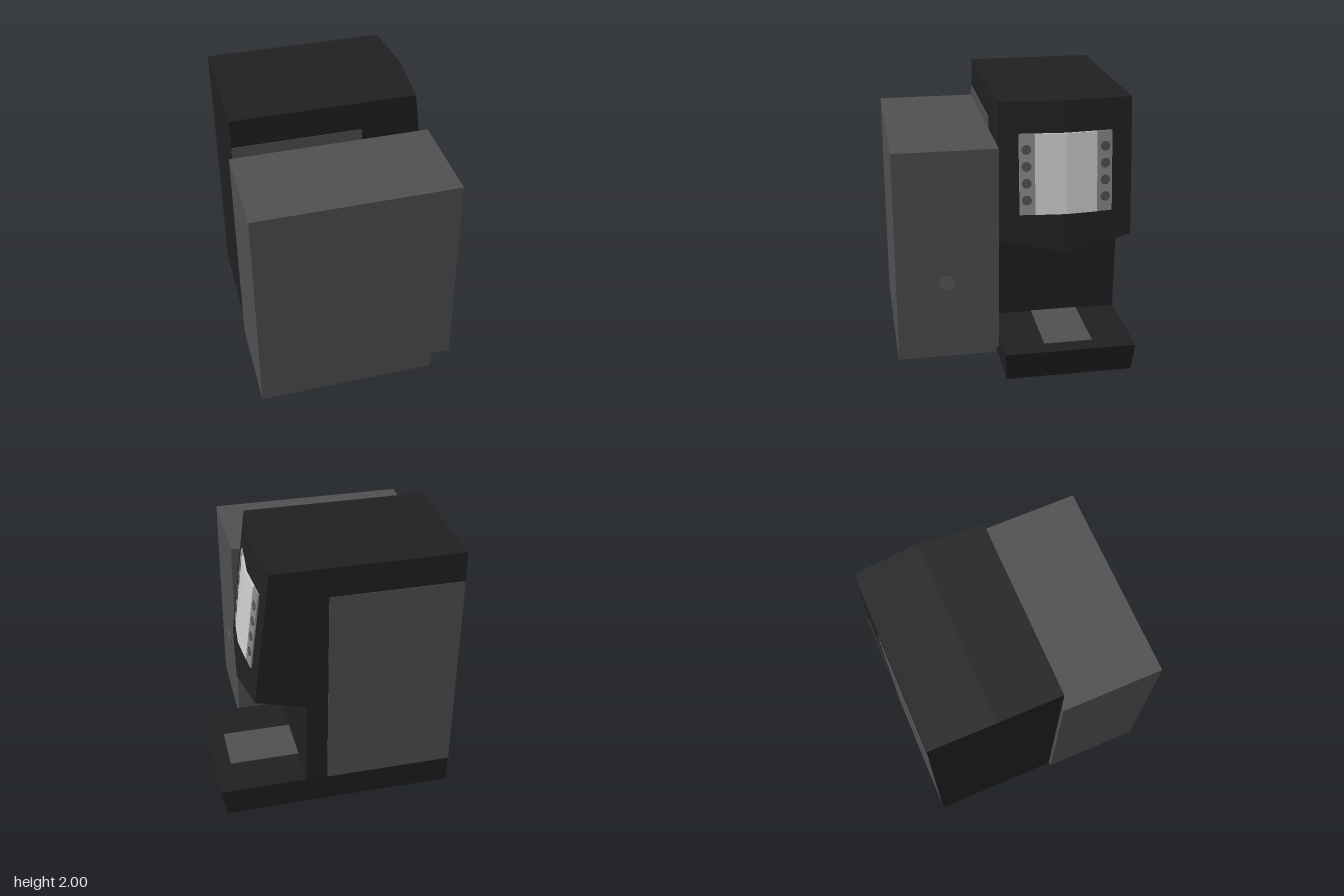
import * as THREE from 'three';

const material = (color) => new THREE.MeshStandardMaterial({ color, flatShading: true });
const black = material(0x202020);
const darkGrey = material(0x505050);
const midGrey = material(0x888888);
const lightGrey = material(0xcccccc);

const MID_Z = -0.375, HALF_Z = 0.485, BACK_X = -0.865;

// x of the leaning, slightly bowed front face of the machine
const frontX = (y, z) => 0.66 - 0.135 * (y - 0.9) / 1.1 - 0.04 * Math.abs(z - MID_Z) / HALF_Z;

function add(group, name, geometry, mat, x = 0, y = 0, z = 0) {
  const mesh = new THREE.Mesh(geometry, mat);
  mesh.name = name;
  mesh.position.set(x, y, z);
  group.add(mesh);
  return mesh;
}

// Joins equal-length counter-clockwise xy profiles, from +z to -z, and caps the ends
function loft(sections) {
  const n = sections[0].points.length;
  const positions = sections.flatMap((s) => s.points.flatMap(([x, y]) => [x, y, s.z]));
  const index = [];
  for (let s = 0; s < sections.length - 1; s++) {
    for (let i = 0; i < n; i++) {
      const j = (i + 1) % n;
      const a = s * n + i, b = s * n + j, c = b + n, d = a + n;
      index.push(a, d, c, a, c, b);
    }
  }
  const last = (sections.length - 1) * n;
  const contour = sections[0].points.map(([x, y]) => new THREE.Vector2(x, y));
  for (const [a, b, c] of THREE.ShapeUtils.triangulateShape(contour, [])) {
    index.push(a, b, c, last + a, last + c, last + b);
  }
  const indexed = new THREE.BufferGeometry();
  indexed.setAttribute('position', new THREE.Float32BufferAttribute(positions, 3));
  indexed.setIndex(index);
  const geometry = indexed.toNonIndexed();
  geometry.computeVertexNormals();
  return geometry;
}

// Moves a geometry along x so that it lies on the front face
function fitToFront(geometry, y, z) {
  geometry.translate(0, y, z);
  const p = geometry.attributes.position;
  for (let i = 0; i < p.count; i++) p.setX(i, p.getX(i) + frontX(p.getY(i), p.getZ(i)));
  geometry.computeVertexNormals();
  return geometry;
}

function buildMachine() {
  const machine = new THREE.Group();
  machine.name = 'drinksMachine';

  // Column and overhanging head, lifted at the lower front corners
  const sections = [0.105, MID_Z, -0.86].map((z) => {
    const lipY = z === MID_Z ? 0.9 : 1.0;
    return {
      z,
      points: [
        [BACK_X, 0.225], [0.24, 0.225], [0.24, 0.9],
        [frontX(lipY, z), lipY], [frontX(2, z), 2], [BACK_X, 2],
      ],
    };
  });
  add(machine, 'body', loft(sections), black);

  // Base, narrower towards the floor
  const base = new THREE.BoxGeometry(0.885 - BACK_X, 0.225, 0.97);
  base.translate((0.885 + BACK_X) / 2, 0.1125, MID_Z);
  const p = base.attributes.position;
  for (let i = 0; i < p.count; i++) {
    if (p.getY(i) > 0.1) continue;
    if (p.getX(i) > 0) p.setX(i, 0.84);
    p.setZ(i, MID_Z + (p.getZ(i) - MID_Z) * 0.97);
  }
  base.computeVertexNormals();
  add(machine, 'base', base, black);
  add(machine, 'dripTray', new THREE.BoxGeometry(0.525, 0.01, 0.36), darkGrey, 0.5025, 0.225, -0.38);

  // Panels on both sides
  for (const [name, z] of [['leftSidePanel', 0.105], ['rightSidePanel', -0.86]]) {
    add(machine, name, new THREE.BoxGeometry(0.95, 1.555, 0.008), darkGrey, BACK_X + 0.475, 1.0025, z);
  }

  // Screen with a button strip on each side
  const screenY = 1.485;
  add(machine, 'screen', fitToFront(new THREE.BoxGeometry(0.03, 0.58, 0.45, 1, 1, 2), screenY, MID_Z), lightGrey);
  for (const side of [-1, 1]) {
    const strip = new THREE.BoxGeometry(0.024, 0.58, 0.112);
    add(machine, 'buttonStrip', fitToFront(strip, screenY, MID_Z + side * 0.281), midGrey);
    for (let i = 0; i < 4; i++) {
      const button = new THREE.CylinderGeometry(0.035, 0.035, 0.032, 16);
      button.rotateZ(-Math.PI / 2);
      add(machine, 'button', fitToFront(button, 1.302 + i * 0.121, MID_Z + side * 0.286), darkGrey);
    }
  }
  return machine;
}

function buildCooler() {
  const cooler = new THREE.Group();
  cooler.name = 'sideCooler';

  // Cabinet with a recessed plinth
  const profile = [[-0.89, 0], [0.44, 0], [0.44, 0.13], [0.59, 0.13], [0.59, 1.695], [-0.89, 1.695]];
  const shape = new THREE.Shape(profile.map(([x, y]) => new THREE.Vector2(x, y)));
  const cabinet = new THREE.ExtrudeGeometry(shape, { depth: 0.75, bevelEnabled: false });
  add(cooler, 'cabinet', cabinet, darkGrey, 0, 0, 0.11);

  // Round lock on the door
  const lock = new THREE.CylinderGeometry(0.057, 0.057, 0.008, 24);
  lock.rotateZ(-Math.PI / 2);
  add(cooler, 'doorLock', lock, material(0x5c5c5c), 0.59, 0.69, 0.49);
  return cooler;
}

export function createModel() {
  const model = new THREE.Group();
  model.name = 'drinksStation';
  model.add(buildMachine(), buildCooler());
  return model;
}
